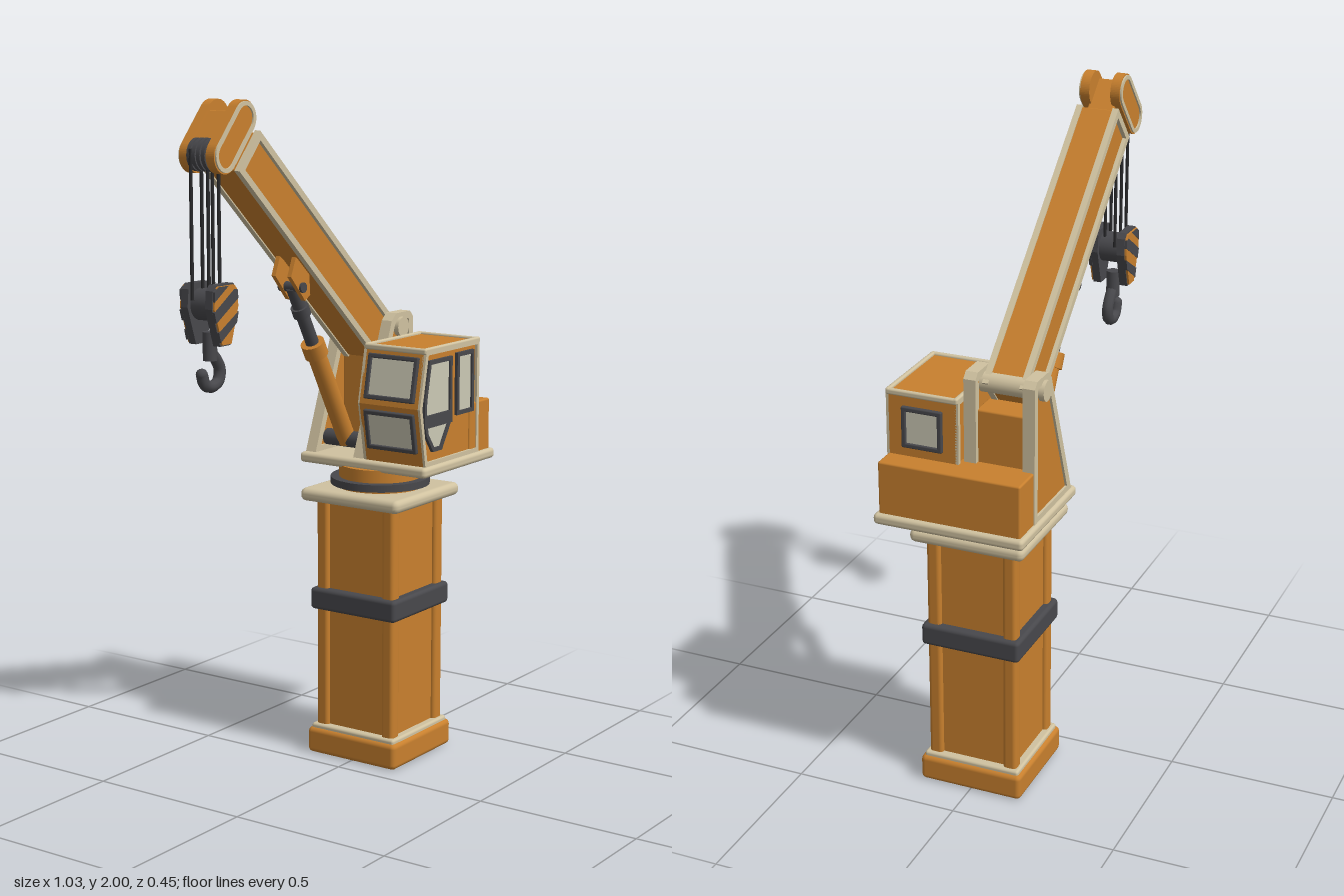
import * as THREE from 'three';
import { RoundedBoxGeometry } from 'three/addons/geometries/RoundedBoxGeometry.js';

const mat = (name, color) => Object.assign(new THREE.MeshStandardMaterial({ color }), { name });

export function createModel() {
  const orange = mat('orange paint', 0xc8802e), cream = mat('cream trim', 0xd0c2a0);
  const dark = mat('dark metal', 0x48484c), rope = mat('rope black', 0x2a2a2c), glass = mat('pale glass', 0xcbc8b4);
  const root = new THREE.Group();
  root.name = 'craneTower';

  const add = (name, geo, m, x = 0, y = 0, z = 0, parent = root) => {
    const mesh = new THREE.Mesh(geo, m);
    mesh.name = name;
    mesh.position.set(x, y, z);
    parent.add(mesh);
    return mesh;
  };
  // rounded box given by its minimum and maximum corners
  const block = (name, m, a, b, r = 0.008, parent = root) => {
    const s = a.map((v, i) => b[i] - v);
    return add(name, new RoundedBoxGeometry(s[0], s[1], s[2], 2, r), m,
      (a[0] + b[0]) / 2, (a[1] + b[1]) / 2, (a[2] + b[2]) / 2, parent);
  };
  const outline = (pts) => new THREE.Shape(pts.map((p) => new THREE.Vector2(p[0], p[1])));
  // moves the edges of a counter-clockwise convex outline inwards
  const inset = (pts, d) => pts.map((p, i) => {
    const a = pts[(i + pts.length - 1) % pts.length], b = pts[(i + 1) % pts.length];
    const u = new THREE.Vector2(p[0] - a[0], p[1] - a[1]).normalize();
    const v = new THREE.Vector2(b[0] - p[0], b[1] - p[1]).normalize();
    const k = d / (1 + u.dot(v));
    return [p[0] - (u.y + v.y) * k, p[1] + (u.x + v.x) * k];
  });
  const plate = (name, m, pts, z0, z1, parent = root) => add(name,
    new THREE.ExtrudeGeometry(outline(pts), { depth: z1 - z0, bevelEnabled: false }), m, 0, 0, z0, parent);
  const frame = (name, m, pts, w, z0, z1, parent = root) => {
    const s = outline(pts);
    s.holes.push(outline(inset(pts, w).reverse()));
    return add(name, new THREE.ExtrudeGeometry(s, { depth: z1 - z0, bevelEnabled: false }), m, 0, 0, z0, parent);
  };
  // round bar between two points
  const rod = (name, m, a, b, r, parent = root, sides = 20) => {
    const p = new THREE.Vector3(...a), d = new THREE.Vector3(...b).sub(p);
    const mesh = add(name, new THREE.CylinderGeometry(r, r, d.length(), sides), m, 0, 0, 0, parent);
    mesh.position.copy(p).addScaledVector(d, 0.5);
    mesh.quaternion.setFromUnitVectors(new THREE.Vector3(0, 1, 0), d.normalize());
    return mesh;
  };
  const rect = (x0, y0, x1, y1) => [[x0, y0], [x1, y0], [x1, y1], [x0, y1]];

  // Column with corner posts
  const cx = 0.22;
  const square = (name, m, h, y0, y1, r) => block(name, m, [cx - h, y0, -h], [cx + h, y1, h], r);
  square('base', orange, 0.16, 0, 0.08, 0.015);
  square('baseTrim', cream, 0.15, 0.07, 0.092, 0.008);
  square('columnCore', orange, 0.126, 0.08, 0.8, 0.005);
  for (const sx of [-1, 1]) for (const sz of [-1, 1]) {
    const x = cx + sx * 0.118, z = sz * 0.118;
    block('cornerPost', orange, [x - 0.021, 0.08, z - 0.021], [x + 0.021, 0.8, z + 0.021], 0.012);
  }
  square('columnBand', dark, 0.153, 0.455, 0.522, 0.012);
  square('collar', cream, 0.176, 0.792, 0.832, 0.018);

  // Slewing ring
  rod('ringSeat', orange, [cx, 0.83, 0], [cx, 0.845, 0], 0.13, root, 40);
  rod('slewRing', dark, [cx, 0.84, 0], [cx, 0.862, 0], 0.15, root, 40);
  rod('turntable', orange, [cx, 0.86, 0], [cx, 0.9, 0], 0.124, root, 40);

  // Deck and rear housing
  block('deck', cream, [0.115, 0.893, -0.226], [0.515, 0.925, 0.226], 0.012);
  block('rearHousing', orange, [0.385, 0.92, -0.213], [0.5, 1.08, 0.213], 0.006);
  block('boomSupport', orange, [0.29, 0.92, -0.185], [0.39, 1.235, -0.035], 0.006);

  // Cab
  const cab = new THREE.Group();
  cab.name = 'cab';
  root.add(cab);
  const side = [[0.135, 0.925], [0.432, 0.925], [0.432, 1.268], [0.138, 1.268], [0.103, 1.1]];
  plate('cabShell', orange, side, 0.004, 0.208, cab);
  frame('cabSideTrim', cream, side, 0.013, 0.204, 0.216, cab);
  frame('cabSideTrim', cream, side, 0.013, -0.002, 0.008, cab);
  block('roofTrimFront', cream, [0.132, 1.257, 0], [0.148, 1.275, 0.216], 0.006, cab);
  block('roofTrimRear', cream, [0.424, 1.257, 0], [0.438, 1.275, 0.216], 0.006, cab);
  for (const z of [0.005, 0.209]) block('roofTrimSide', cream, [0.135, 1.257, z - 0.007], [0.438, 1.276, z + 0.007], 0.006, cab);

  // Side windows
  const sideWindow = (name, pts, z = 0.206) => {
    frame(name + 'Frame', dark, pts, 0.012, z, z + 0.012, cab);
    plate(name + 'Glass', glass, inset(pts, 0.008), z, z + 0.006, cab);
  };
  sideWindow('sideWindow', [[0.127, 1.065], [0.277, 1.065], [0.277, 1.238], [0.152, 1.238], [0.127, 1.12]]);
  sideWindow('lowerWindow', [[0.175, 0.965], [0.222, 0.965], [0.27, 1.04], [0.27, 1.06], [0.127, 1.06], [0.138, 1.015]]);
  plate('windowBar', dark, rect(0.127, 1.04, 0.277, 1.075), 0.206, 0.219, cab);
  sideWindow('rearSideWindow', rect(0.305, 1.055, 0.4, 1.243));

  // Windows on the end faces, each lying along an edge of the cab profile
  const endWindow = (name, a, b, z0, z1) => {
    const g = new THREE.Group(), len = Math.hypot(b[0] - a[0], b[1] - a[1]);
    g.name = name;
    g.position.set(a[0], a[1], 0);
    g.rotation.z = Math.atan2(b[1] - a[1], b[0] - a[0]);
    cab.add(g);
    block('glass', glass, [0.005, -0.004, z0 + 0.005], [len - 0.005, 0.005, z1 - 0.005], 0.002, g);
    for (const z of [z0, z1 - 0.014]) block('frameSide', dark, [0, -0.004, z], [len, 0.011, z + 0.014], 0.004, g);
    for (const x of [0, len - 0.014]) block('frameEnd', dark, [x, -0.004, z0], [x + 0.014, 0.011, z1], 0.004, g);
  };
  endWindow('windshield', [0.107, 1.115], [0.134, 1.248], 0.02, 0.195);
  endWindow('lowerWindshield', [0.128, 0.965], [0.106, 1.085], 0.02, 0.195);
  endWindow('rearWindow', [0.432, 1.23], [0.432, 1.108], 0.045, 0.167);

  // Boom brackets with pivot caps
  const bracket = [[0.135, 0.92], [0.405, 0.92], [0.405, 1.325], [0.388, 1.343], [0.312, 1.343], [0.288, 1.322]];
  for (const [z0, z1] of [[-0.216, -0.18], [-0.042, -0.006]]) {
    frame('bracketTrim', cream, bracket, 0.022, z0, z1);
    plate('bracketPanel', orange, inset(bracket, 0.018), z0 + 0.007, z1 - 0.007);
  }
  rod('pivotPin', cream, [0.338, 1.3, -0.226], [0.338, 1.3, 0.004], 0.03);

  // Boom: local x runs from the tip down to the pivot
  const boom = new THREE.Group();
  boom.name = 'boom';
  boom.position.set(-0.355, 1.86, -0.11);
  boom.rotation.z = -Math.atan2(0.665, 0.747);
  root.add(boom);
  const beam = rect(0, -0.071, 0.91, 0.071);
  block('beam', orange, [0.003, -0.067, -0.052], [0.907, 0.067, 0.052], 0.004, boom);
  for (const s of [-1, 1]) frame('beamTrim', cream, beam, 0.019, s * 0.055 - 0.009, s * 0.055 + 0.009, boom);

  // Boom head: two capsule cheeks with sheaves between
  const capsule = (r) => {
    const s = new THREE.Shape();
    s.absarc(0, 0.065, r, 0, Math.PI);
    s.absarc(0, -0.065, r, Math.PI, Math.PI * 2);
    s.closePath();
    return s;
  };
  const head = new THREE.Group();
  head.name = 'boomHead';
  head.position.set(-0.0714, -0.01, 0);
  boom.add(head);
  const solid = (depth) => ({ depth, bevelEnabled: false, curveSegments: 16 });
  const ring = capsule(0.046);
  ring.holes.push(new THREE.Path(capsule(0.034).getPoints(16).reverse()));
  for (const s of [-1, 1]) {
    add('cheek', new THREE.ExtrudeGeometry(capsule(0.05), solid(0.028)), orange, 0, 0, s * 0.046 - 0.014, head);
    add('cheekTrim', new THREE.ExtrudeGeometry(ring, solid(0.008)), cream, 0, 0, s * 0.061 - 0.004, head);
  }
  block('headBlock', orange, [-0.04, -0.045, -0.04], [0.08, 0.06, 0.04], 0.006, head);
  for (const z of [-0.135, -0.118, -0.102, -0.085]) rod('headSheave', dark, [-0.467, 1.853, z - 0.006], [-0.467, 1.853, z + 0.006], 0.046);
  rod('sheaveAxle', dark, [-0.467, 1.853, -0.145], [-0.467, 1.853, -0.075], 0.025);

  // Hoist ropes
  [-0.508, -0.485, -0.462, -0.438, -0.415].forEach((x, i) => {
    const z = i % 2 ? -0.09 : -0.13;
    rod('hoistRope', rope, [x, 1.46, z], [x, 1.87, z], 0.005, root, 8);
  });

  // Hook block with striped outer faces
  const cheek = [[-0.482, 1.335], [-0.436, 1.335], [-0.403, 1.44], [-0.408, 1.49], [-0.422, 1.505], [-0.498, 1.505], [-0.512, 1.49], [-0.517, 1.44]];
  const stripes = [
    [[-0.514, 1.432], [-0.505, 1.402], [-0.408, 1.462], [-0.41, 1.486], [-0.424, 1.489]],
    [[-0.495, 1.375], [-0.487, 1.347], [-0.415, 1.395], [-0.407, 1.426]],
    [[-0.512, 1.488], [-0.512, 1.46], [-0.45, 1.5], [-0.495, 1.5]],
  ];
  for (const s of [-1, 1]) {
    const z = -0.11 + s * 0.042, face = -0.11 + s * 0.056;
    plate('hookCheek', dark, cheek, z - 0.012, z + 0.012);
    plate('hookCheekPaint', orange, inset(cheek, 0.004), face - 0.004, face + 0.004);
    for (const p of stripes) plate('hookStripe', dark, p, face - 0.005, face + 0.005);
  }
  rod('hookSheave', dark, [-0.46, 1.445, -0.14], [-0.46, 1.445, -0.08], 0.045);
  rod('hookShank', dark, [-0.459, 1.29, -0.11], [-0.459, 1.37, -0.11], 0.02);

  // Hook, tapering to its tip
  const curve = new THREE.CatmullRomCurve3([[-0.459, 1.315], [-0.435, 1.292], [-0.417, 1.26], [-0.425, 1.228], [-0.455, 1.216],
    [-0.484, 1.226], [-0.496, 1.255]].map((p) => new THREE.Vector3(p[0], p[1], -0.11)));
  add('hook', new THREE.TubeGeometry(curve, 32, 0.017, 10), dark);
  add('hookTip', new THREE.SphereGeometry(0.017, 12, 8), dark, -0.496, 1.255, -0.11);

  // Lifting cylinder under the boom
  const at = (t) => [-0.075 + t * 0.49, 1.455 - t * 0.872, -0.11];
  rod('pistonRod', dark, at(0), at(0.25), 0.02);
  rod('pistonCollar', orange, at(0.2), at(0.245), 0.036);
  rod('pistonBarrel', orange, at(0.23), at(0.57), 0.028);
  rod('pistonRodEnd', dark, at(0.07), at(0.1), 0.027);
  for (const z of [-0.145, -0.089]) {
    plate('pistonLug', orange, [[-0.06, 1.415], [-0.035, 1.43], [-0.04, 1.5], [-0.105, 1.545], [-0.128, 1.49]], z, z + 0.014);
  }
  rod('pistonPin', dark, [-0.075, 1.455, -0.152], [-0.075, 1.455, -0.068], 0.015);
  rod('pistonFootPin', dark, [0.2, 0.965, -0.18], [0.2, 0.965, -0.04], 0.025);
  return root;
}
